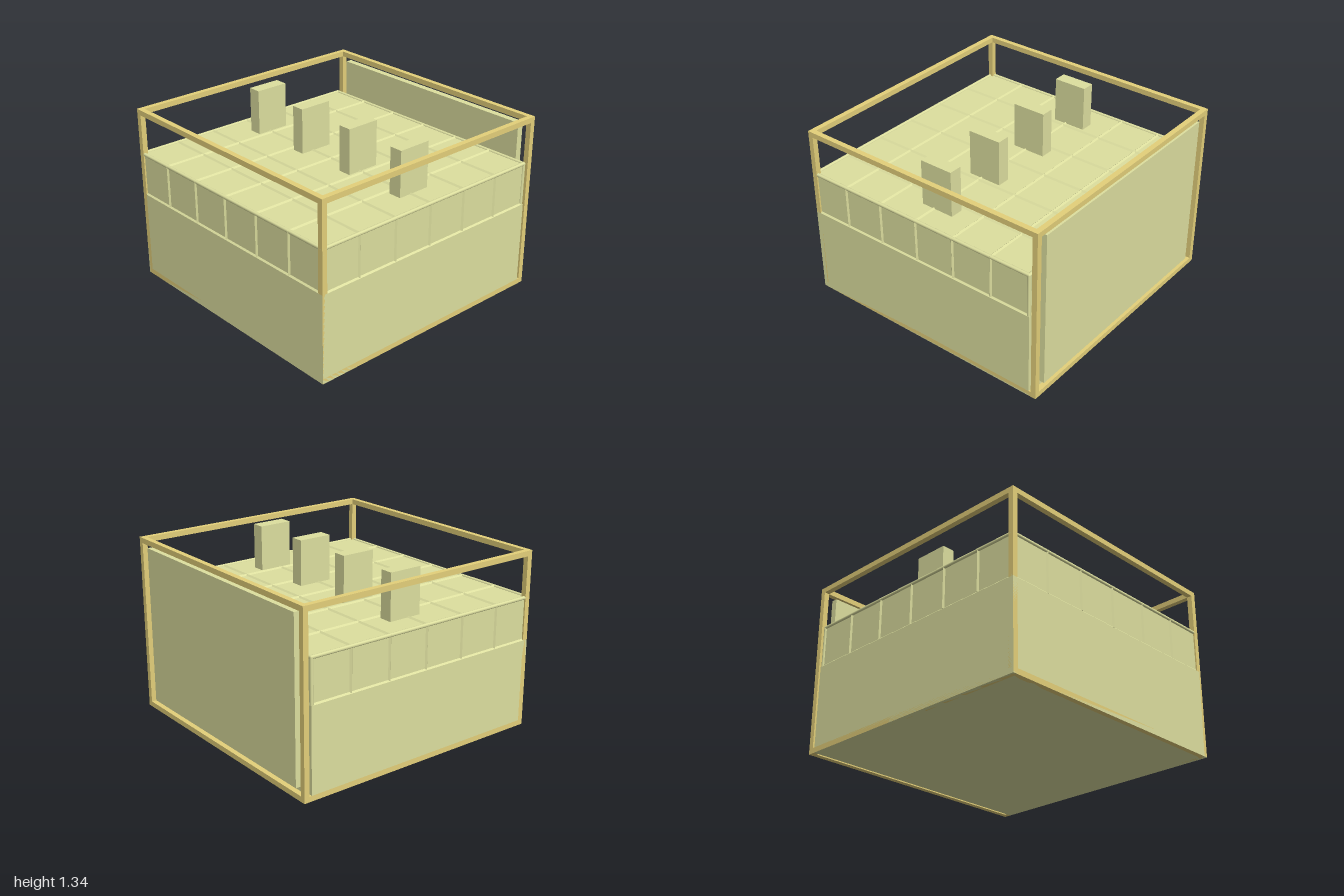
import * as THREE from 'three';
import { RoundedBoxGeometry } from 'three/addons/geometries/RoundedBoxGeometry.js';

export function createModel() {
  const model = new THREE.Group();
  const padding = new THREE.MeshStandardMaterial({ color: 0xdddf9f });
  padding.name = 'pale olive';
  const timber = new THREE.MeshStandardMaterial({ color: 0xe4d07a });
  timber.name = 'tan frame';

  const add = (name, geometry, material, x, y, z, parent = model) => {
    const mesh = new THREE.Mesh(geometry, material);
    mesh.name = name;
    mesh.position.set(x, y, z);
    parent.add(mesh);
    return mesh;
  };
  // Box given by its two opposite corners
  const span = (name, a, b, material, parent, radius = 0) => {
    const s = a.map((v, i) => b[i] - v);
    const g = radius ? new RoundedBoxGeometry(...s, 2, radius) : new THREE.BoxGeometry(...s);
    return add(name, g, material, ...a.map((v, i) => (v + b[i]) / 2), parent);
  };

  // Solid base
  const x0 = -1, x1 = 0.941, baseTop = 0.667, top = 1;
  span('base', [x0, 0, -1], [x1, baseTop, 1], padding);

  // Upper layer, set back by the height of its ridges
  const layer = new THREE.Group();
  layer.name = 'panelledLayer';
  model.add(layer);
  const inset = 0.011;
  span('layerCore', [x0 + inset, baseTop - 0.01, -1 + inset], [x1 - inset, top - inset, 1 - inset],
    padding, layer);

  // Ridge: a square bar turned on edge, half sunk into the core
  const side = inset * Math.SQRT2, midX = (x0 + x1) / 2, midY = (baseTop + top) / 2;
  const lenX = x1 - x0 - 2 * inset, lenY = top - baseTop - inset, lenZ = 2 - 2 * inset;
  const ridge = (axis, x, y, z) => {
    const length = { x: lenX, y: lenY, z: lenZ }[axis];
    const size = ['x', 'y', 'z'].map((a) => (a === axis ? length : side));
    const mesh = add('ridge', new THREE.BoxGeometry(...size), padding, x, y, z, layer);
    mesh.rotation[axis] = Math.PI / 4;
  };
  // Six by six grid across the top and down the sides
  for (let i = 1; i < 6; i++) {
    const x = x0 + (x1 - x0) * i / 6, z = -1 + i / 3;
    ridge('z', x, top - inset, 0);
    ridge('x', midX, top - inset, z);
    for (const s of [-1, 1]) ridge('y', x, midY, s * (1 - inset));
    for (const edge of [x0 + inset, x1 - inset]) ridge('y', edge, midY, z);
  }
  // Sloping ledge where the layer meets the base
  for (const s of [-1, 1]) ridge('x', midX, baseTop, s * (1 - inset));
  for (const edge of [x0 + inset, x1 - inset]) ridge('z', edge, baseTop, 0);

  // Rounded border along the top edges and down the corners
  const rim = 0.026, low = top - rim;
  const xEdges = [[x0, x0 + rim], [x1 - rim, x1]], zEdges = [[-1, -1 + rim], [1 - rim, 1]];
  for (const [za, zb] of zEdges) {
    span('topBorder', [x0, low, za], [x1, top, zb], padding, layer, 0.012);
    for (const [xa, xb] of xEdges) {
      span('cornerBorder', [xa, baseTop - 0.02, za], [xb, top, zb], padding, layer, 0.012);
    }
  }
  for (const [xa, xb] of xEdges) {
    span('topBorder', [xa, low, -1], [xb, top, 1], padding, layer, 0.012);
  }

  // Four upright slabs along the middle
  for (const z of [-0.75, -0.25, 0.25, 0.75]) {
    span('uprightSlab', [-0.13, 0.98, z - 0.05], [0.13, 1.333, z + 0.05], padding);
  }

  // Side panel standing within the frame
  span('sidePanel', [0.945, 0.07, -0.9], [0.995, 1.27, 0.9], padding);

  // Open box frame: four bars in each direction
  const frame = new THREE.Group();
  frame.name = 'frame';
  model.add(frame);
  const t = 0.04, h = 1.335, c = 1 - t / 2;
  const post = new THREE.BoxGeometry(t, h - 2 * t, t);
  const railX = new THREE.BoxGeometry(2, t, t);
  const railZ = new THREE.BoxGeometry(t, t, 2 - 2 * t);
  for (const s of [-1, 1]) {
    for (const z of [-c, c]) add('framePost', post, timber, s * c, h / 2, z, frame);
    for (const y of [t / 2, h - t / 2]) {
      add('frameRail', railX, timber, 0, y, s * c, frame);
      add('frameRail', railZ, timber, s * c, y, 0, frame);
    }
  }
  return model;
}
